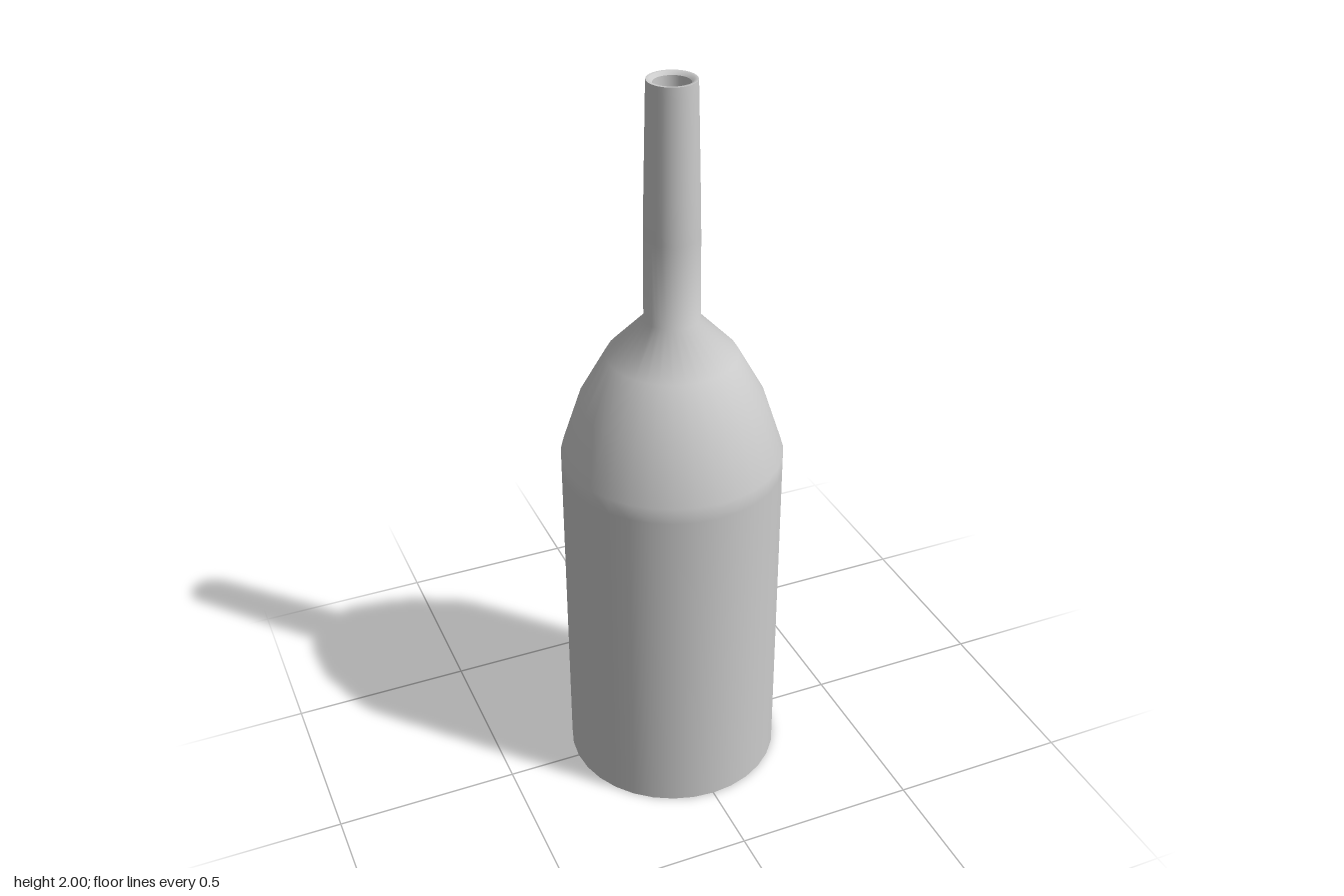
import * as THREE from 'three';

const SIDES = 32;

export function createModel() {
  const bottle = new THREE.Group();
  bottle.name = 'bottle';
  const material = new THREE.MeshStandardMaterial({ color: 0xcccccc });

  // Each part is a profile of [radius, height] turned around the y axis
  const addLathe = (name, profile) => {
    const points = profile.map(([r, y]) => new THREE.Vector2(r, y));
    const mesh = new THREE.Mesh(new THREE.LatheGeometry(points, SIDES), material);
    mesh.name = name;
    bottle.add(mesh);
  };

  // Flat underside
  addLathe('base', [[0, 0], [0.296, 0]]);

  // Straight wall running smoothly into the rounded shoulder and slim neck
  addLathe('bodyAndNeck', [
    [0.296, 0], [0.296, 0.94], [0.296, 0.985], [0.245, 1.14], [0.172, 1.272],
    [0.073, 1.375], [0.072, 1.6], [0.07, 1.71], [0.064, 1.97], [0.063, 2],
  ]);

  // Rim around the mouth
  addLathe('rim', [[0.063, 2], [0.055, 2], [0.047, 1.992]]);

  // Bore of the neck, closed by a small rounded floor
  addLathe('neckBore', [[0.047, 1.992], [0.047, 1.42], [0.035, 1.395], [0, 1.385]]);

  return bottle;
}
